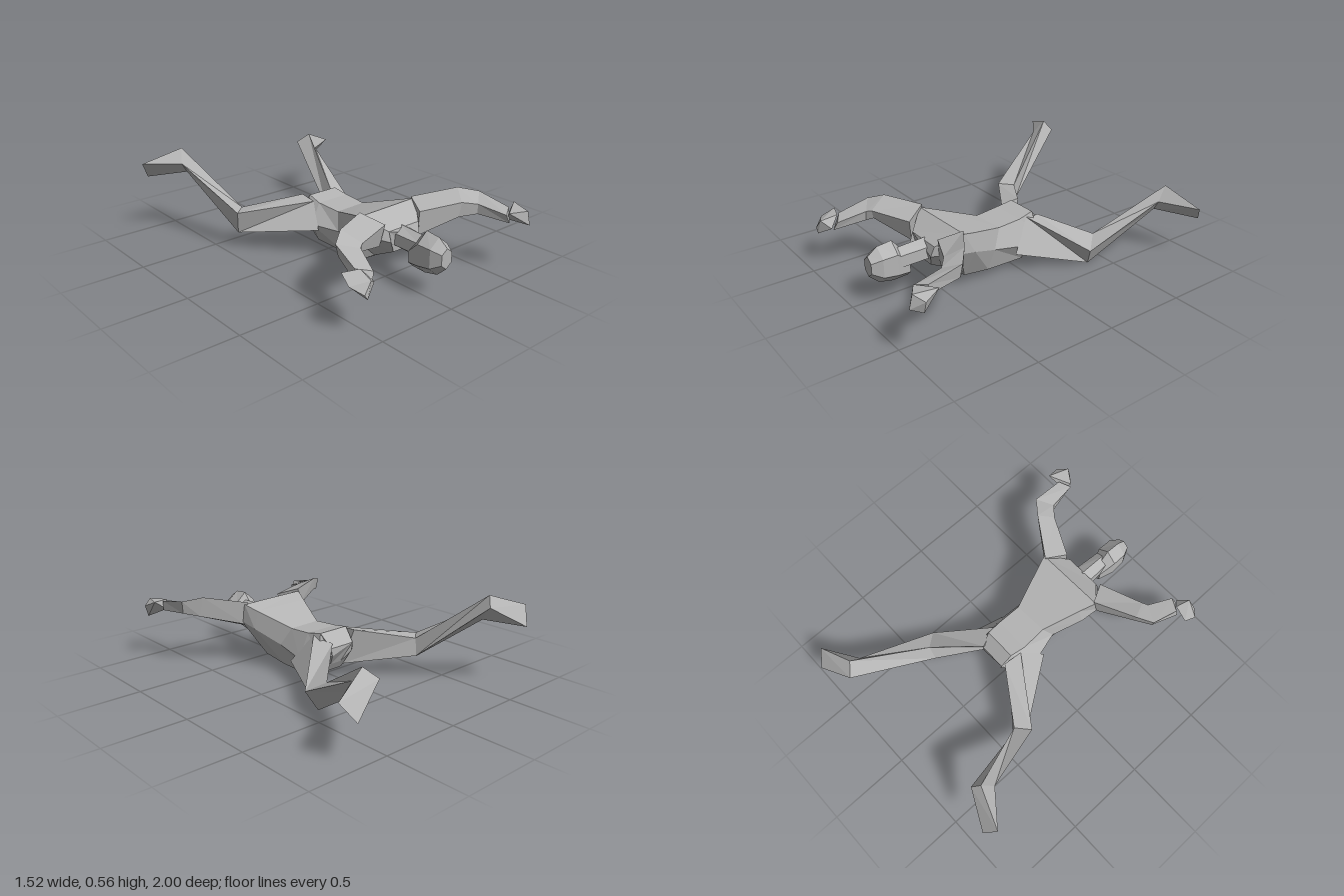
import * as THREE from 'three';
import { ConvexGeometry } from 'three/addons/geometries/ConvexGeometry.js';

// Skin a closed, capped tube through a list of rings with equal point counts
function loft(rings) {
  const n = rings[0].length, pos = [], vol = { v: 0 };
  const tris = [];
  const tri = (a, b, c) => {
    tris.push([a, b, c]);
    vol.v += a[0] * (b[1] * c[2] - b[2] * c[1]) + a[1] * (b[2] * c[0] - b[0] * c[2]) + a[2] * (b[0] * c[1] - b[1] * c[0]);
  };
  for (let r = 0; r < rings.length - 1; r++) {
    for (let i = 0; i < n; i++) {
      const j = (i + 1) % n, p = rings[r], q = rings[r + 1];
      tri(p[i], p[j], q[j]);
      tri(p[i], q[j], q[i]);
    }
  }
  const first = rings[0], last = rings[rings.length - 1];
  for (let i = 1; i < n - 1; i++) {
    tri(first[0], first[i + 1], first[i]);
    tri(last[0], last[i], last[i + 1]);
  }
  // Turn the faces outward whichever way the rings run
  for (const [a, b, c] of tris) pos.push(...a, ...(vol.v > 0 ? b : c), ...(vol.v > 0 ? c : b));
  const g = new THREE.BufferGeometry();
  g.setAttribute('position', new THREE.Float32BufferAttribute(pos, 3));
  g.computeVertexNormals();
  return g;
}

const hull = (pts) => new ConvexGeometry(pts.map((p) => new THREE.Vector3(...p)));

// Six-sided ring across the z axis
const hexRing = (cx, cy, z, rx, ry, tilt = 0) => Array.from({ length: 6 }, (_, i) => {
  const a = (i + 0.5) * Math.PI / 3, s = Math.sin(a);
  return [cx + rx * Math.cos(a), cy + ry * s, z + tilt * s];
});

export function createModel() {
  const model = new THREE.Group();
  const skin = new THREE.MeshStandardMaterial({ color: 0xb4b4b4 });
  skin.name = 'grey';
  skin.flatShading = true;
  const add = (name, geometry) => {
    const mesh = new THREE.Mesh(geometry, skin);
    mesh.name = name;
    model.add(mesh);
  };

  // Torso: back pair, left side, belly pair, right side, from neck to seat
  add('torso', loft([
    [[-.05, .32, .57], [.18, .32, .57], [.17, .26, .59], [.12, .18, .56], [0, .18, .56], [-.05, .26, .59]],
    [[-.16, .40, .45], [.28, .40, .44], [.29, .29, .47], [.13, .12, .43], [-.02, .12, .43], [-.17, .30, .47]],
    [[-.12, .37, .35], [.25, .37, .35], [.27, .26, .36], [.17, .07, .37], [-.07, .085, .37], [-.15, .26, .36]],
    [[-.04, .30, .13], [.17, .30, .12], [.21, .19, .18], [.17, .05, .20], [-.05, .065, .20], [-.08, .20, .18]],
    [[-.05, .31, -.03], [.17, .31, -.03], [.23, .16, -.02], [.17, .045, -.05], [-.04, .06, -.05], [-.13, .20, 0]],
    [[-.04, .33, -.13], [.16, .33, -.13], [.20, .20, -.15], [.14, .08, -.12], [-.01, .08, -.12], [-.08, .20, -.15]],
    [[-.03, .25, -.20], [.14, .25, -.20], [.13, .20, -.20], [.10, .13, -.15], [.02, .13, -.15], [-.02, .20, -.20]],
  ]));

  // Neck and head
  add('neck', loft([hexRing(.06, .26, .54, .07, .07), hexRing(.06, .25, .74, .055, .07)]));
  add('head', loft([
    hexRing(.045, .19, .67, .045, .07),
    hexRing(.045, .24, .76, .08, .125),
    hexRing(.045, .245, .85, .078, .11),
    hexRing(.045, .25, .91, .045, .06),
  ]));

  // Arms: shoulder, two elbow rings, wrist
  add('leftArm', loft([
    [[.26, .41, .43], [.20, .37, .56], [.20, .22, .55], [.28, .27, .45]],
    [[.49, .455, .58], [.43, .40, .67], [.42, .31, .66], [.50, .33, .60]],
    [[.59, .43, .66], [.50, .39, .73], [.50, .33, .73], [.58, .35, .67]],
    [[.60, .39, .87], [.53, .37, .91], [.55, .32, .92], [.60, .33, .87]],
  ]));
  add('leftHand', hull([[.63, .39, .98], [.63, .31, 1], [.69, .36, .94], [.67, .40, .85],
    [.67, .29, .94], [.54, .38, .92], [.57, .33, .88]]));
  add('rightArm', loft([
    [[-.15, .42, .44], [-.08, .37, .57], [-.10, .24, .55], [-.17, .29, .46]],
    [[-.39, .425, .555], [-.34, .37, .67], [-.34, .32, .66], [-.39, .34, .57]],
    [[-.48, .39, .62], [-.37, .36, .69], [-.38, .30, .69], [-.47, .32, .63]],
    [[-.51, .33, .80], [-.43, .31, .85], [-.45, .26, .87], [-.52, .27, .81]],
  ]));
  add('rightHand', hull([[-.59, .33, .79], [-.61, .29, .87], [-.54, .22, .93], [-.45, .27, .88],
    [-.49, .33, .82], [-.56, .25, .93], [-.51, .31, .92]]));

  // Legs: hip, knee, ankle; the ankle ring is shared by the wedge-shaped foot
  const legs = {
    left: {
      hip: [[.17, .31, -.08], [.24, .13, .05], [.14, .08, -.12], [.13, .28, -.20]],
      knee: [[.46, .12, -.34], [.40, .005, -.38], [.34, .06, -.43], [.38, .18, -.43]],
      ankle: [[.55, .35, -.80], [.50, .28, -.82], [.48, .38, -.92], [.54, .44, -.86]],
      toes: [[.70, .24, -1], [.76, .34, -.93]],
    },
    right: {
      hip: [[-.06, .31, -.07], [-.13, .18, .06], [-.01, .10, -.13], [-.05, .32, -.19]],
      knee: [[-.44, .25, -.33], [-.42, .11, -.36], [-.36, .14, -.41], [-.36, .25, -.40]],
      ankle: [[-.57, .49, -.73], [-.52, .42, -.76], [-.49, .51, -.83], [-.53, .57, -.79]],
      toes: [[-.70, .38, -.94], [-.76, .49, -.88]],
    },
  };
  for (const [side, { hip, knee, ankle, toes }] of Object.entries(legs)) {
    add(side + 'Leg', loft([hip, knee, ankle]));
    add(side + 'Foot', hull([...ankle, ...toes]));
  }
  return model;
}
